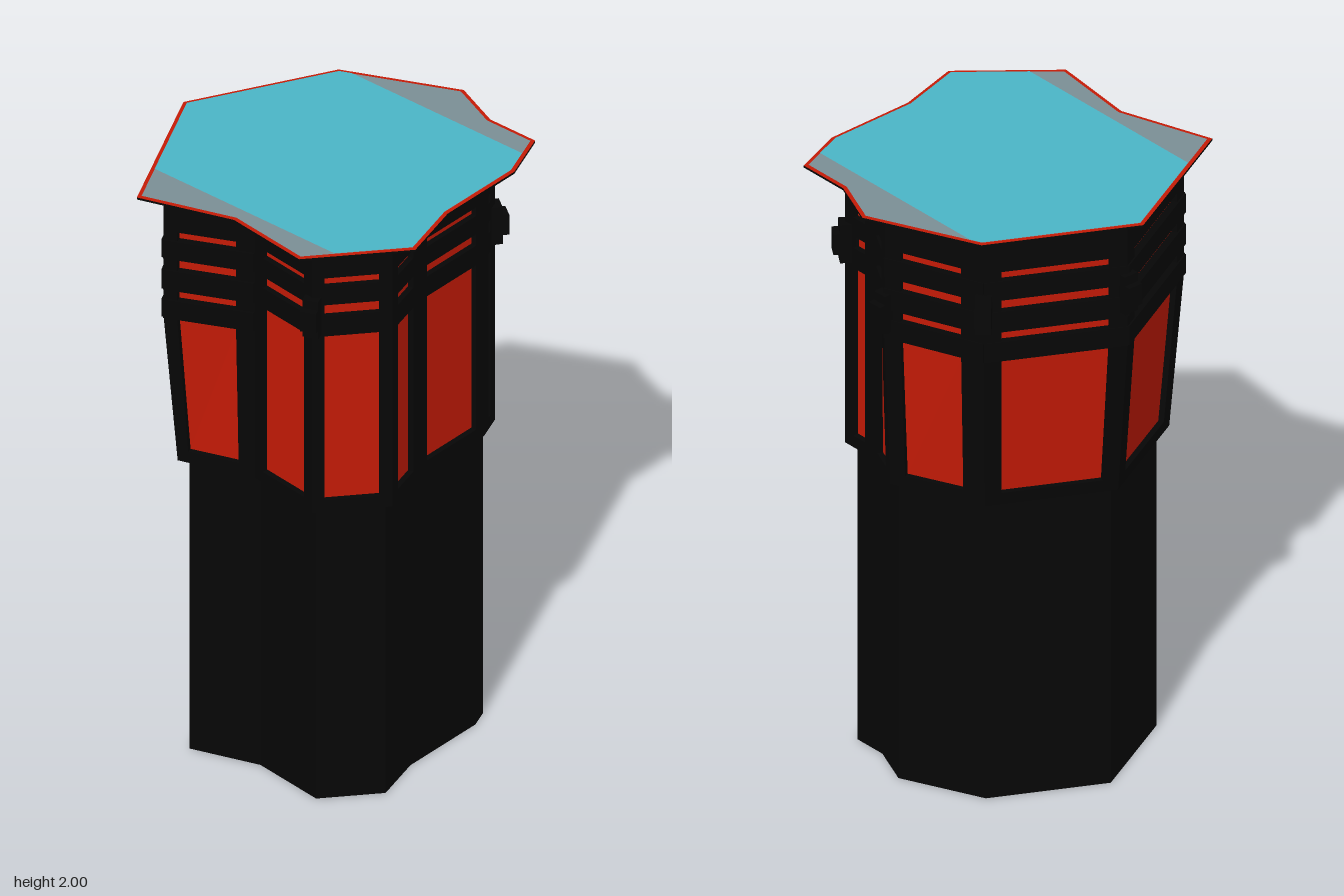
import * as THREE from 'three';

const mat = (name, color, side = THREE.FrontSide) => {
  const m = new THREE.MeshStandardMaterial({ color, side });
  m.name = name;
  return m;
};

// Roof outline as [x, z]; every other outline is this one moved inward
const OUTLINE = [[0.061, -0.541], [0.226, -0.471], [0.402, -0.471], [0.467, -0.301], [0.467, 0], [0.524, 0.213],
  [0.297, 0.478], [0.01, 0.442], [-0.288, 0.538], [-0.525, 0.053], [-0.293, -0.383]];
const N = OUTLINE.length;
const BASE = 1.03, BEND = 1.55, TOP = 1.99, RECESS = 0.018;
// Inset at the top of the upper storey: the left and back corners flare out
const FLARE = { 0: 0.08, 8: 0.067, 9: 0.064, 10: 0.066 };

const edgeNormal = (i) => {
  const a = OUTLINE[(i + N) % N], b = OUTLINE[(i + 1) % N];
  const dx = b[0] - a[0], dz = b[1] - a[1], l = Math.hypot(dx, dz);
  return [dz / l, -dx / l];
};

// Mitre direction of a corner
const mitre = (i) => {
  const p = edgeNormal(i - 1), q = edgeNormal(i);
  const k = 1 + p[0] * q[0] + p[1] * q[1];
  return [(p[0] + q[0]) / k, (p[1] + q[1]) / k];
};

const inset = (i, d) => {
  const m = mitre(i);
  return [OUTLINE[i][0] - m[0] * d, OUTLINE[i][1] - m[1] * d];
};
const ring = (d) => OUTLINE.map((_, i) => inset(i, d));

// Corner of the upper storey at height y
const corner = (i, y) => {
  i = i % N;
  const t = THREE.MathUtils.clamp((y - BASE) / (BEND - BASE), 0, 1);
  const [x, z] = inset(i, THREE.MathUtils.lerp(0.102, FLARE[i] ?? 0.102, t));
  return new THREE.Vector3(x, y, z);
};

// Point on face i, at fraction f along it, moved outward by out
const onFace = (i, y, f, out) => {
  const n = edgeNormal(i);
  return corner(i, y).lerp(corner(i + 1, y), f).add(new THREE.Vector3(n[0], 0, n[1]).multiplyScalar(out));
};

// Four corners of a patch of face i, seen from outside
const patch = (i, y0, y1, f0, f1, out) =>
  [[y0, f1], [y0, f0], [y1, f0], [y1, f1]].map(([y, f]) => onFace(i, y, f, out));

// Solid frame member between the pane plane and the outer plane
const member = (i, y0, y1, f0, f1, out) => {
  const front = patch(i, y0, y1, f0, f1, out), back = patch(i, y0, y1, f0, f1, -RECESS);
  const sides = front.map((v, k) => [back[k], back[(k + 1) % 4], front[(k + 1) % 4], v]);
  return [front, ...sides];
};

// Quads given as [bottom left, bottom right, top right, top left] from outside
function quads(list) {
  const pos = [];
  for (const [a, b, c, d] of list) for (const v of [a, b, c, a, c, d]) pos.push(v.x, v.y, v.z);
  const g = new THREE.BufferGeometry();
  g.setAttribute('position', new THREE.Float32BufferAttribute(pos, 3));
  g.computeVertexNormals();
  return g;
}

function walls(outline, y0, y1) {
  const at = (i, y) => new THREE.Vector3(outline[i % N][0], y, outline[i % N][1]);
  return quads(outline.map((_, i) => [at(i + 1, y0), at(i, y0), at(i, y1), at(i + 1, y1)]));
}

function flat(points, y, up) {
  const shape = new THREE.Shape(points.map(([x, z]) => new THREE.Vector2(x, up ? -z : z)));
  return new THREE.ShapeGeometry(shape).rotateX(up ? -Math.PI / 2 : Math.PI / 2).translate(0, y, 0);
}

// Keep the part of an outline where sign * z < limit
function clip(points, sign, limit) {
  const out = [];
  points.forEach((a, i) => {
    const b = points[(i + 1) % points.length];
    const da = limit - sign * a[1], db = limit - sign * b[1];
    if (da >= 0) out.push(a);
    if (da * db < 0) {
      const t = da / (da - db);
      out.push([a[0] + (b[0] - a[0]) * t, a[1] + (b[1] - a[1]) * t]);
    }
  });
  return out;
}

export function createModel() {
  const black = mat('black', 0x060606);
  const red = mat('red', 0xc41a06, THREE.DoubleSide);
  const teal = mat('teal', 0x4ab5c6);
  const grey = mat('grey', 0x7a8e95);
  const group = new THREE.Group();
  const add = (name, geometry, material, parent = group) => {
    const m = new THREE.Mesh(geometry, material);
    m.name = name;
    parent.add(m);
    return m;
  };
  const sub = (name) => {
    const g = new THREE.Group();
    g.name = name;
    group.add(g);
    return g;
  };

  // Lower shaft
  const low = ring(0.132);
  add('shaftWalls', walls(low, 0, BASE), black);
  add('shaftBottom', flat(low, 0, false), black);

  // Upper storey: a frame of posts and rails around recessed panes on each face
  add('upperBottom', flat(ring(0.102), BASE, false), black);
  const windows = sub('windows'), frames = sub('frames');
  for (let i = 0; i < N; i++) {
    const tall = i < 7;
    const length = corner(i, BASE).distanceTo(corner(i + 1, BASE));
    const trim = tall ? 0.037 : 0.05;
    const f0 = Math.min((i === 10 ? 0.07 : trim) / length, 0.42);
    const f1 = 1 - Math.min((i === 7 ? 0.037 : trim) / length, 0.42);

    const panes = [[1.07, BEND], tall ? [BEND, 1.65] : [1.615, 1.65], [1.72, 1.76], [1.825, 1.855]];
    add('windowPanes', quads(panes.map(([y0, y1]) => patch(i, y0, y1, f0, f1, -RECESS))), red, windows);

    const posts = [];
    for (const [y0, y1] of [[BASE, BEND], [BEND, TOP]]) {
      posts.push(...member(i, y0, y1, 0, f0, 0), ...member(i, y0, y1, f1, 1, 0));
    }
    add('posts', quads(posts), black, frames);

    // Rails stand slightly proud on the flared faces
    const proud = tall ? 0 : 0.006;
    const bars = [[1.65, 1.72], [1.76, 1.825]];
    if (!tall) bars.push([BEND, 1.615]);
    const rails = bars.flatMap(([y0, y1]) =>
      proud ? member(i, y0, y1, 0, 1, proud) : member(i, y0, y1, f0, f1, 0));
    rails.push(...member(i, BASE, 1.07, f0, f1, 0), ...member(i, 1.855, TOP, f0, f1, 0));
    add('rails', quads(rails), black, frames);
  }

  // Stepped blocks on the corners
  const blocks = sub('cornerBlocks');
  for (const [i, y] of [[9, 1.735], [0, 1.64], [6, 1.725], [10, 1.72], [2, 1.73]]) {
    const m = mitre(i);
    for (const [h, out] of [[0.13, 0.018], [0.07, 0.038]]) {
      const b = add('cornerBlock', new THREE.BoxGeometry(0.05, h, out * 2), black, blocks);
      b.position.copy(corner(i, y));
      b.rotation.y = Math.atan2(m[0], m[1]);
    }
  }

  // Thin roof slab with a red rim and coloured deck
  const edge = ring(0), deck = ring(0.012);
  add('roofEdge', walls(edge, TOP, 1.997), black);
  add('roofUnderside', flat(edge, TOP, false), black);
  add('roofRim', flat(edge, 1.997, true), red);
  add('deckEnds', flat(deck, 1.9985, true), grey);
  add('deck', flat(clip(clip(deck, 1, 0.388), -1, 0.39), 2, true), teal);
  return group;
}
